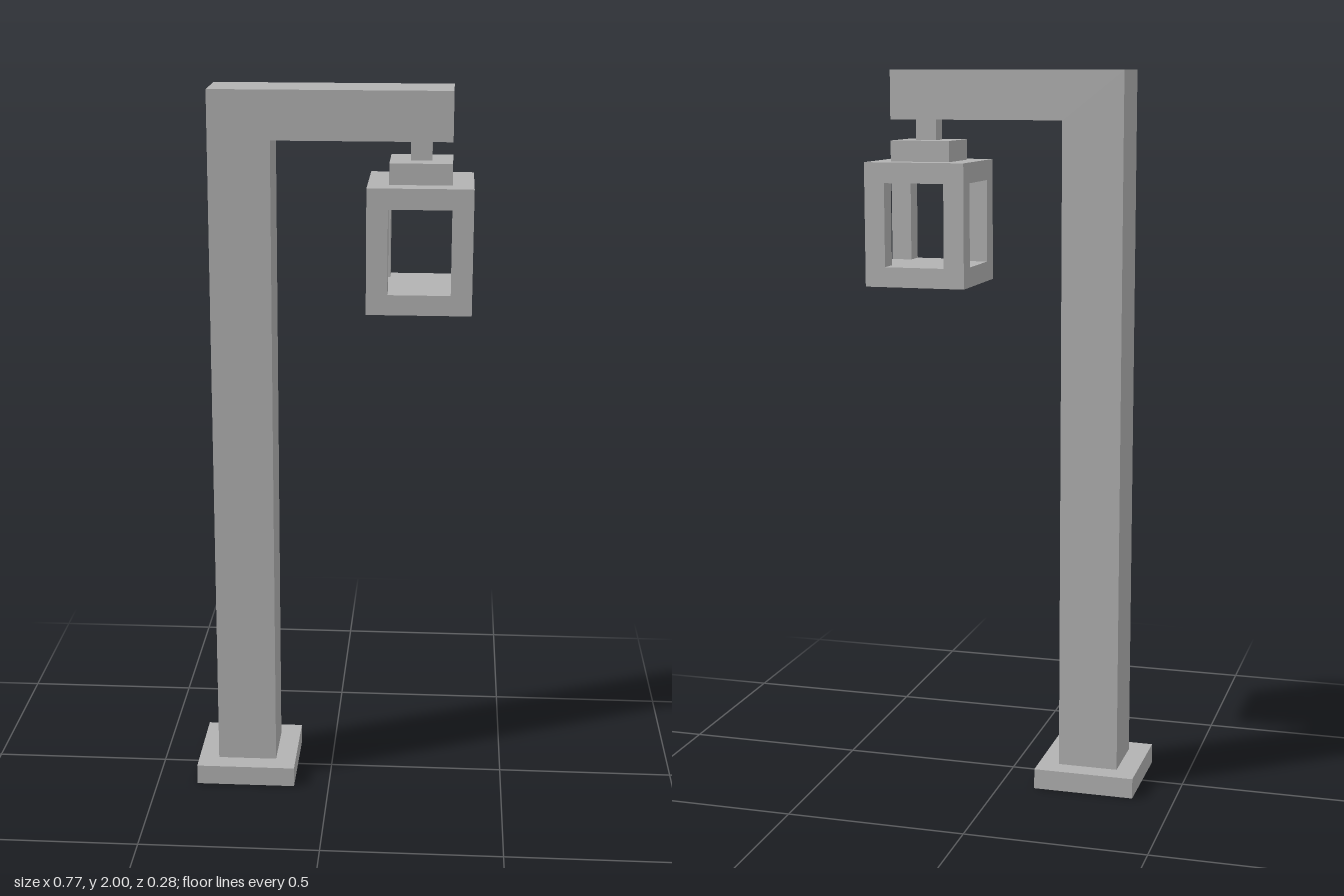
import * as THREE from 'three';

export function createModel() {
  const model = new THREE.Group();
  model.name = 'streetLamp';
  const grey = new THREE.MeshStandardMaterial({ color: 0xb3b3b3 });
  grey.name = 'grey';

  // Box given by its centre in x and z, and its bottom and top heights
  function block(name, parent, x, z, width, depth, bottom, top) {
    const mesh = new THREE.Mesh(new THREE.BoxGeometry(width, top - bottom, depth), grey);
    mesh.name = name;
    mesh.position.set(x, (bottom + top) / 2, z);
    parent.add(mesh);
  }

  const poleX = -0.242, lampX = 0.242;
  const thick = 0.168, wide = 0.283, bar = 0.057;

  // Foot plate
  block('footPlate', model, poleX, 0, wide, wide, 0, 0.057);

  // Pole and arm as one L-shaped piece
  const outline = new THREE.Shape([
    [-0.326, 0.057], [-0.158, 0.057], [-0.158, 1.867],
    [0.326, 1.867], [0.326, 2], [-0.326, 2],
  ].map(([x, y]) => new THREE.Vector2(x, y)));
  const poleGeometry = new THREE.ExtrudeGeometry(outline, { depth: thick, bevelEnabled: false });
  poleGeometry.translate(0, 0, -thick / 2);
  const pole = new THREE.Mesh(poleGeometry, grey);
  pole.name = 'poleAndArm';
  model.add(pole);

  // Hanging lantern: hanger, cap, roof, floor and four corner posts
  const lantern = new THREE.Group();
  lantern.name = 'lantern';
  model.add(lantern);
  block('hanger', lantern, lampX, 0, bar, bar, 1.81, 1.867);
  block('cap', lantern, lampX, 0, thick, thick, 1.753, 1.81);
  block('lanternRoof', lantern, lampX, 0, wide, wide, 1.697, 1.753);
  block('lanternFloor', lantern, lampX, 0, wide, wide, 1.413, 1.468);
  const offset = (wide - bar) / 2;
  for (const sx of [-1, 1]) {
    for (const sz of [-1, 1]) {
      block('cornerPost', lantern, lampX + sx * offset, sz * offset, bar, bar, 1.468, 1.697);
    }
  }

  return model;
}
